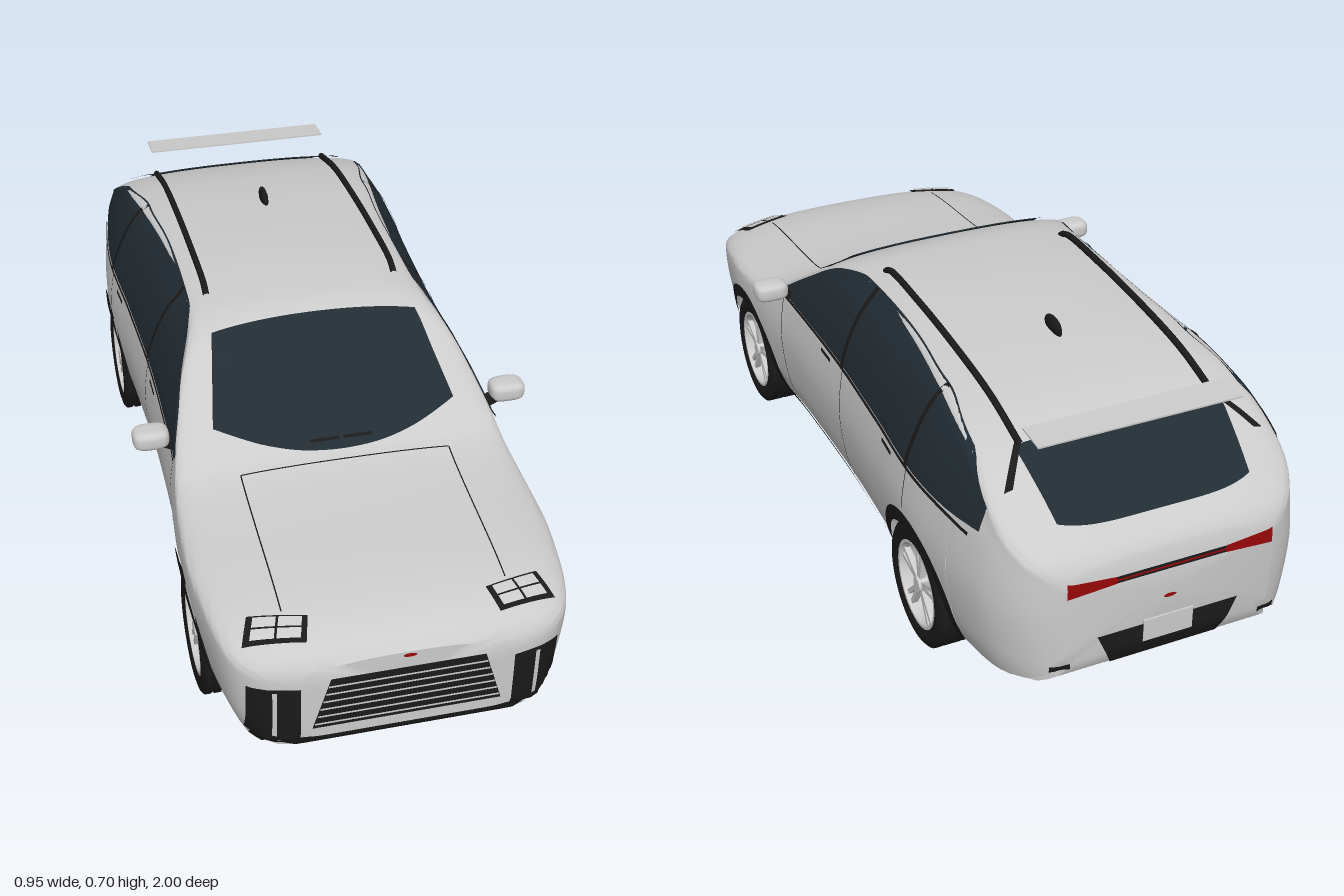
import * as THREE from 'three';
import { toCreasedNormals } from 'three/addons/utils/BufferGeometryUtils.js';

const mat = (color, side = THREE.FrontSide) => new THREE.MeshStandardMaterial({ color, side });
const GREY = 0xcccccc, BLACK = 0x1a1a1a, GLASS = 0x222c33, RED = 0x990808, GREEN = 0x128a62;
const lerp = THREE.MathUtils.lerp;

// Smooth monotone curve through ascending [t, value] knots
function curve(k) {
  const d = i => (k[i + 1][1] - k[i][1]) / (k[i + 1][0] - k[i][0]);
  const slope = i => {
    if (i === 0) return d(0);
    if (i === k.length - 1) return d(i - 1);
    const a = d(i - 1), b = d(i);
    return a * b > 0 ? 2 * a * b / (a + b) : 0;
  };
  return t => {
    if (t <= k[0][0]) return k[0][1];
    if (t >= k[k.length - 1][0]) return k[k.length - 1][1];
    let i = 0;
    while (t > k[i + 1][0]) i++;
    const h = k[i + 1][0] - k[i][0], s = (t - k[i][0]) / h, q = s * s, c = q * s;
    return (2 * c - 3 * q + 1) * k[i][1] + (c - 2 * q + s) * h * slope(i)
      + (3 * q - 2 * c) * k[i + 1][1] + (c - q) * h * slope(i + 1);
  };
}

// Body shape: plan half width, side taper by height, centre line height, lower edge
const width = curve([[-0.995, 0.25], [-0.975, 0.295], [-0.93, 0.342], [-0.85, 0.378], [-0.7, 0.402], [-0.55, 0.413],
  [-0.3, 0.4], [0, 0.39], [0.3, 0.395], [0.5, 0.41], [0.65, 0.415], [0.8, 0.402], [0.9, 0.383], [0.95, 0.355], [0.98, 0.305], [0.995, 0.24]]);
const taper = curve([[0.09, 0.86], [0.13, 0.91], [0.2, 0.965], [0.33, 1], [0.45, 0.965], [0.53, 0.9], [0.6, 0.81], [0.64, 0.72], [0.68, 0.62]]);
const topY = curve([[-0.995, 0.44], [-0.98, 0.465], [-0.94, 0.495], [-0.84, 0.56], [-0.74, 0.61], [-0.6, 0.645], [-0.4, 0.666],
  [-0.15, 0.675], [0.05, 0.665], [0.14, 0.643], [0.24, 0.58], [0.36, 0.505], [0.43, 0.46], [0.5, 0.443], [0.6, 0.432],
  [0.8, 0.415], [0.89, 0.4], [0.945, 0.383], [0.97, 0.37], [0.995, 0.345]]);
const sillY = curve([[-0.995, 0.22], [-0.98, 0.18], [-0.93, 0.145], [-0.75, 0.118], [-0.5, 0.11], [0.9, 0.11], [0.97, 0.125], [0.995, 0.15]]);
const corner = curve([[-0.9, 0.05], [-0.6, 0.035], [0.1, 0.035], [0.4, 0.05], [0.6, 0.06]]);
const sideX = (z, y) => width(z) * taper(y);
const AXLES = [0.613, -0.553], AXLE_Y = 0.15, ARCH = 0.175;

// Half cross-section from the underside, round the wheel well, up the side, to the roof centre
function section(z) {
  const axle = AXLES.find(a => Math.abs(z - a) <= ARCH + 1e-6);
  const sill = sillY(z), under = sill - 0.016, top = topY(z), shoulder = top - corner(z);
  const low = axle === undefined ? sill : AXLE_Y + Math.sqrt(Math.max(0, ARCH ** 2 - (z - axle) ** 2));
  const inner = axle === undefined ? sideX(z, sill) - 0.025 : 0.26;
  const pts = [[0, under], [inner, under], [inner, low]];
  for (let i = 0; i <= 14; i++) {
    const y = lerp(low, shoulder, i / 14);
    pts.push([sideX(z, y), y]);
  }
  const xs = sideX(z, shoulder);
  for (let i = 1; i <= 18; i++) {
    const a = i / 18 * Math.PI / 2, p = 2 / 2.5;
    pts.push([i === 18 ? 0 : xs * Math.cos(a) ** p, shoulder + (top - shoulder) * Math.sin(a) ** p]);
  }
  return pts;
}

function bodyGeometry() {
  const zs = [0.995, 0.99, 0.98, 0.965, 0.945, -0.945, -0.965, -0.98, -0.99, -0.995];
  for (let z = 0.92; z > -0.93; z -= 0.025) if (AXLES.every(a => Math.abs(z - a) > ARCH + 0.005)) zs.push(z);
  for (const a of AXLES) {
    zs.push(a + ARCH + 0.001, a - ARCH - 0.001);
    for (let i = 0; i <= 18; i++) zs.push(a + ARCH * Math.cos(i / 18 * Math.PI));
  }
  zs.sort((a, b) => b - a);
  const pos = [], idx = [];
  let n = 0;
  for (const z of zs) {
    const half = section(z);
    const ring = half.concat(half.slice(1, -1).reverse().map(([x, y]) => [-x, y]));
    n = ring.length;
    ring.forEach(([x, y]) => pos.push(x, y, z));
  }
  for (let i = 0; i < zs.length - 1; i++) for (let j = 0; j < n; j++) {
    const a = i * n + j, b = i * n + (j + 1) % n;
    idx.push(a, a + n, b, b, a + n, b + n);
  }
  // Nose and tail caps
  const last = (zs.length - 1) * n, c = zs.length * n;
  pos.push(0, 0.25, zs[0], 0, 0.33, zs[zs.length - 1]);
  for (let j = 0; j < n; j++) {
    const k = (j + 1) % n;
    idx.push(c, j, k, c + 1, last + k, last + j);
  }
  const g = new THREE.BufferGeometry();
  g.setAttribute('position', new THREE.Float32BufferAttribute(pos, 3));
  g.setIndex(idx);
  return g;
}

// Grid surface from a function (u, v) -> Vector3; cells with a missing corner are left out
function grid(fn, nu, nv) {
  const pts = [], pos = [], idx = [];
  for (let j = 0; j <= nv; j++) for (let i = 0; i <= nu; i++) pts.push(fn(i / nu, j / nv));
  pts.forEach(p => pos.push(...(p ? p.toArray() : [0, 0.3, 0])));
  for (let j = 0; j < nv; j++) for (let i = 0; i < nu; i++) {
    const a = j * (nu + 1) + i, b = a + 1, c = a + nu + 1, d = c + 1;
    if (pts[a] && pts[b] && pts[c] && pts[d]) idx.push(a, b, c, b, d, c);
  }
  const g = new THREE.BufferGeometry();
  g.setAttribute('position', new THREE.Float32BufferAttribute(pos, 3));
  g.setIndex(idx);
  g.computeVertexNormals();
  return g;
}

function wheel() {
  const g = new THREE.Group();
  const add = (name, geo, color, x, side) => {
    const m = new THREE.Mesh(geo, mat(color, side));
    m.name = name; m.position.x = x; g.add(m);
    return m;
  };
  // Tyre with grooves across the tread
  const prof = [[0.104, -0.055], [0.125, -0.062], [0.142, -0.058]];
  for (let i = 0; i < 5; i++) {
    const y = -0.05 + i * 0.022;
    prof.push([0.15, y], [0.15, y + 0.014], [0.145, y + 0.015], [0.145, y + 0.021]);
  }
  prof.splice(-2);
  prof.push([0.142, 0.058], [0.125, 0.062], [0.104, 0.055]);
  const lathe = p => toCreasedNormals(new THREE.LatheGeometry(p.map(q => new THREE.Vector2(...q)), 40), 0.6).rotateZ(-Math.PI / 2);
  add('tyre', lathe(prof), BLACK, 0, THREE.DoubleSide);
  add('rim', lathe([[0.096, -0.055], [0.094, 0.04], [0.1, 0.056], [0.107, 0.056]]), GREY, 0, THREE.DoubleSide);
  add('wheelBack', new THREE.CylinderGeometry(0.096, 0.096, 0.01, 32).rotateZ(Math.PI / 2), 0x333333, -0.045);
  add('brakeDisc', new THREE.CylinderGeometry(0.075, 0.075, 0.012, 32).rotateZ(Math.PI / 2), 0x777777, 0);
  add('hub', new THREE.CylinderGeometry(0.018, 0.024, 0.03, 20).rotateZ(-Math.PI / 2), GREY, 0.04);
  for (let i = 0; i < 5; i++) for (const s of [-1, 1]) {
    const spoke = new THREE.BoxGeometry(0.014, 0.085, 0.011).translate(0, 0.056, 0);
    add('spoke', spoke, GREY, 0.042).rotation.x = i * Math.PI * 0.4 + s * 0.13;
  }
  return g;
}

export function createModel() {
  const car = new THREE.Group();
  const add = (name, geo, color, x = 0, y = 0, z = 0, side) => {
    const m = new THREE.Mesh(geo, mat(color, side));
    m.name = name; m.position.set(x, y, z); car.add(m);
    return m;
  };
  const shell = bodyGeometry();
  const caster = new THREE.Mesh(shell, mat(GREY, THREE.DoubleSide));
  add('body', toCreasedNormals(shell, 0.6), GREY);

  // Lay a thin panel on the body, projected from one side
  const ray = new THREE.Raycaster();
  const from = {
    front: (a, b) => [[a, b, 2], [0, 0, -1]], rear: (a, b) => [[a, b, -2], [0, 0, 1]], top: (a, b) => [[a, 2, b], [0, -1, 0]],
    left: (a, b) => [[2, b, a], [-1, 0, 0]], right: (a, b) => [[-2, b, a], [1, 0, 0]],
  };
  const panel = (name, color, view, fn, nu, nv, lift = 0.004) => add(name, grid((u, v) => {
    const [o, d] = from[view](...fn(u, v));
    ray.set(new THREE.Vector3(...o), new THREE.Vector3(...d));
    const hit = ray.intersectObject(caster)[0];
    return hit ? hit.point.addScaledVector(ray.ray.direction, -lift) : null;
  }, nu, nv), color, 0, 0, 0, THREE.DoubleSide);
  const quad = (p, q, r, s) => (u, v) => [0, 1].map(i => lerp(lerp(p[i], q[i], u), lerp(s[i], r[i], u), v));
  const rect = (a0, a1, b0, b1) => quad([a0, b0], [a1, b0], [a1, b1], [a0, b1]);

  // Windscreen and rear window
  panel('windscreen', GLASS, 'top', (u, v) => {
    const s = u * 2 - 1;
    return [s * lerp(0.25, 0.29, v), lerp(0.125 + 0.015 * s * s, 0.43 - 0.085 * s * s, v)];
  }, 28, 20, 0.006);
  panel('rearWindow', GLASS, 'top', (u, v) => {
    const s = u * 2 - 1;
    return [s * lerp(0.25, 0.23, v), lerp(-0.745, -0.94 + 0.025 * s ** 4, v)];
  }, 24, 14, 0.006);
  for (const s of [-1, 1]) panel('wiper', BLACK, 'top', rect(s * 0.005, s * 0.075, 0.405, 0.412), 4, 1, 0.012);

  // Bonnet seam
  for (const s of [-1, 1]) panel('bonnetSeam', BLACK, 'top', rect(s * 0.248 - 0.0015, s * 0.248 + 0.0015, 0.455, 0.87), 1, 20, 0.003);
  panel('bonnetSeam', BLACK, 'top', rect(-0.248, 0.248, 0.453, 0.456), 20, 1, 0.003);

  // Sides: windows, pillars, seams, handles, sills, mirrors, rails
  const windowTop = curve([[-0.83, 0.53], [-0.7, 0.602], [-0.5, 0.641], [-0.2, 0.654], [0, 0.648], [0.12, 0.622], [0.25, 0.545], [0.37, 0.462]]);
  const windowLow = curve([[-0.83, 0.475], [-0.65, 0.458], [0.37, 0.455]]);
  for (const s of [1, -1]) {
    const view = s > 0 ? 'left' : 'right';
    panel('sideWindow', GLASS, view, (u, v) => {
      const z = lerp(0.37, -0.83, u);
      return [z, lerp(windowLow(z), windowTop(z), v)];
    }, 48, 12);
    for (const z of [-0.06, -0.515]) {
      panel('windowPillar', BLACK, view, rect(z - 0.008, z + 0.008, 0.455, windowTop(z)), 1, 12, 0.007);
    }
    for (const [z, y] of [[0.355, 0.135], [-0.06, 0.135], [-0.515, 0.345]]) {
      panel('doorSeam', BLACK, view, rect(z - 0.0015, z + 0.0015, y, 0.455), 1, 14, 0.002);
    }
    for (const z of [0.04, -0.4]) panel('doorHandle', BLACK, view, rect(z - 0.032, z + 0.032, 0.432, 0.441), 4, 1, 0.008);
    panel('windowTrim', BLACK, view, rect(0.37, -0.8, 0.449, 0.457), 40, 1, 0.006);
    panel('sillStrip', BLACK, view, rect(0.435, -0.375, 0.112, 0.135), 30, 2, 0.005);

    // Arch trim and wheels
    AXLES.forEach((a, i) => {
      add('archTrim', grid((u, v) => {
        const t = lerp(-0.15, Math.PI + 0.15, u), r = lerp(0.157, 0.192, v);
        const z = a + r * Math.cos(t), y = AXLE_Y + r * Math.sin(t);
        return new THREE.Vector3(s * (sideX(z, y) + 0.005), y, z);
      }, 32, 2), BLACK, 0, 0, 0, THREE.DoubleSide);
      const w = wheel();
      w.name = i ? 'rearWheel' : 'frontWheel';
      w.position.set(s * 0.342, AXLE_Y, a);
      if (s < 0) w.rotation.y = Math.PI;
      car.add(w);
      const caliper = add('brakeCaliper', new THREE.BoxGeometry(0.03, 0.07, 0.04), GREEN, s * 0.355, 0.215, a + (i ? 0.045 : -0.045));
      caliper.rotation.x = i ? 0.6 : -0.6;
    });

    // Door mirror
    const shape = new THREE.SphereGeometry(1, 24, 16), p = shape.attributes.position;
    for (let i = 0; i < p.count; i++) p.setXYZ(i, ...[p.getX(i), p.getY(i), p.getZ(i)].map(c => Math.sign(c) * Math.abs(c) ** 0.6));
    shape.computeVertexNormals();
    shape.scale(0.043, 0.024, 0.033);
    add('mirror', shape, GREY, s * 0.432, 0.492, 0.318);
    add('mirrorStalk', new THREE.BoxGeometry(0.055, 0.016, 0.03), BLACK, s * 0.38, 0.468, 0.325).rotation.z = s * 0.45;

    // Roof rail
    const path = [0.0, -0.03, -0.2, -0.4, -0.6, -0.75].map((z, i) => new THREE.Vector3(s * 0.236, topY(z) + (i ? 0.001 : -0.012), z));
    add('roofRail', new THREE.TubeGeometry(new THREE.CatmullRomCurve3(path), 40, 0.008, 8), BLACK);
    panel('railTail', BLACK, 'top', quad([s * 0.228, -0.74], [s * 0.245, -0.74], [s * 0.31, -0.83], [s * 0.29, -0.83]), 2, 6, 0.008);

    // Headlight: dark frame with four lenses
    const lamp = quad([s * 0.196, 0.894], [s * 0.322, 0.862], [s * 0.345, 0.925], [s * 0.212, 0.952]);
    panel('headlightFrame', BLACK, 'top', lamp, 12, 8, 0.005);
    for (const i of [0, 1]) for (const j of [0, 1]) {
      panel('headlightLens', 0xe6e6e6, 'top', (u, v) => lamp(0.09 + i * 0.42 + u * 0.38, 0.1 + j * 0.42 + v * 0.36), 5, 4, 0.009);
    }

    // Front side intake
    panel('sideIntake', BLACK, 'front', rect(s * 0.235, s * 0.345, 0.14, 0.29), 12, 8);
    panel('intakeBlade', GREY, 'front', rect(s * 0.285, s * 0.295, 0.155, 0.285), 1, 8, 0.009);

    // Tail light end and lower reflector
    panel('tailLight', RED, 'rear', quad([s * 0.13, 0.385], [s * 0.245, 0.378], [s * 0.245, 0.415], [s * 0.13, 0.403]), 10, 3, 0.005);
    panel('reflector', BLACK, 'rear', rect(s * 0.23, s * 0.275, 0.185, 0.2), 4, 1, 0.004);
  }

  // Grille with cross bars
  panel('grille', BLACK, 'front', quad([-0.21, 0.17], [0.21, 0.17], [0.17, 0.305], [-0.17, 0.305]), 16, 6, 0.003);
  for (let i = 0; i < 6; i++) {
    const y = 0.18 + i * 0.0205, w = lerp(0.205, 0.175, i / 5);
    panel('grilleBar', GREY, 'front', rect(-w, w, y, y + 0.005), 16, 1, 0.005);
  }
  panel('lowerLip', BLACK, 'front', rect(-0.335, 0.335, 0.12, 0.146), 30, 3, 0.004);
  for (const [v, y] of [['front', 0.34], ['rear', 0.315]]) {
    panel('badge', RED, v, (u, t) => [Math.cos(u * Math.PI * 2) * t * 0.015, y + Math.sin(u * Math.PI * 2) * t * 0.005], 16, 1, 0.005);
  }

  // Tail: light bar, bumper insert, number plate
  panel('lightBar', BLACK, 'rear', rect(-0.14, 0.14, 0.385, 0.402), 12, 1, 0.004);
  panel('lightBarStrip', RED, 'rear', rect(-0.14, 0.14, 0.391, 0.396), 12, 1, 0.005);
  panel('bumperInsert', BLACK, 'rear', quad([-0.13, 0.165], [0.13, 0.165], [0.17, 0.255], [-0.17, 0.255]), 14, 8, 0.004);
  add('numberPlate', new THREE.BoxGeometry(0.12, 0.055, 0.006), GREY, 0, 0.235, -0.997);

  // Roof fin, spoiler blade and underside fins
  add('roofFin', new THREE.SphereGeometry(1, 16, 12).scale(0.01, 0.024, 0.04), BLACK, 0, 0.672, -0.43);
  add('spoiler', new THREE.BoxGeometry(0.485, 0.004, 0.075), GREY, 0, 0.66, -0.81).rotation.x = -0.06;
  for (const x of [-0.15, -0.05, 0.05, 0.15]) add('diffuserFin', new THREE.BoxGeometry(0.008, 0.02, 0.1), BLACK, x, 0.098, -0.68);
  for (const x of [-0.24, 0.24]) add('underRail', new THREE.BoxGeometry(0.012, 0.012, 0.72), BLACK, x, 0.093, 0.03);
  return car;
}
